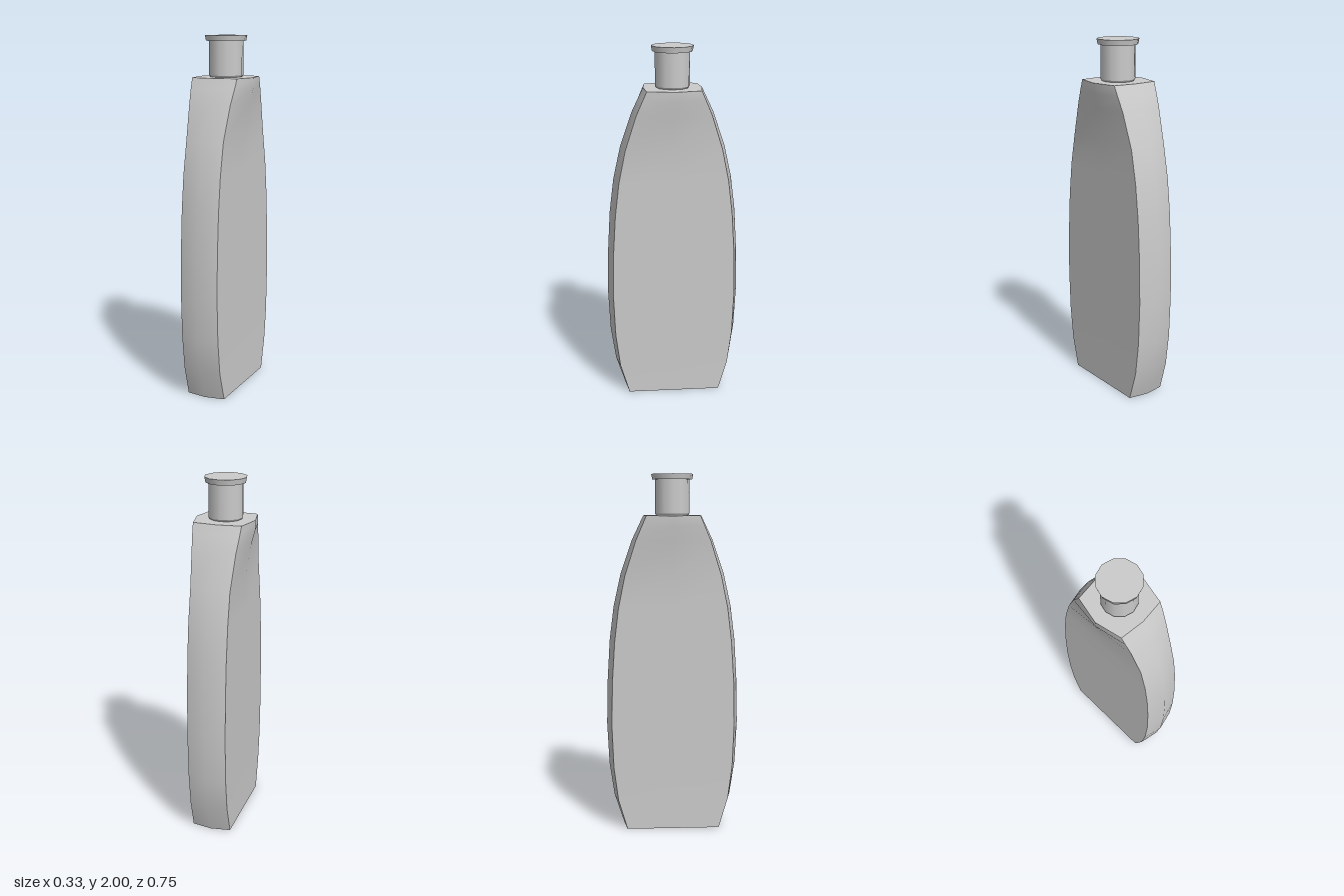
import * as THREE from 'three';

// Body sections: height, ridge z, edge z, edge x, side centre x
const SECTIONS = [
  [0, 0.28, 0.262, 0.112, 0.112],
  [0.17, 0.335, 0.312, 0.11, 0.11],
  [0.36, 0.363, 0.336, 0.11, 0.11],
  [0.6, 0.374, 0.345, 0.11, 0.11],
  [0.85, 0.368, 0.34, 0.11, 0.11],
  [1.08, 0.354, 0.325, 0.11, 0.11],
  [1.27, 0.33, 0.302, 0.11, 0.11],
  [1.45, 0.29, 0.265, 0.11, 0.112],
  [1.64, 0.225, 0.205, 0.122, 0.143],
  [1.72, 0.187, 0.171, 0.13, 0.165],
  [1.775, 0.161, 0.147, 0.134, 0.166],
];

const material = new THREE.MeshStandardMaterial({ color: 0xcccccc });

function addMesh(parent, name, geometry) {
  const mesh = new THREE.Mesh(geometry, material);
  mesh.name = name;
  parent.add(mesh);
  return mesh;
}

// Smooth vertical panel, three points per section
function panel(columns) {
  const positions = [];
  const index = [];
  SECTIONS.forEach((section, row) => {
    for (const [x, z] of columns(section)) positions.push(x, section[0], z);
    if (row === 0) return;
    for (let c = 0; c < 2; c++) {
      const a = (row - 1) * 3 + c;
      index.push(a, a + 1, a + 4, a, a + 4, a + 3);
    }
  });
  const geometry = new THREE.BufferGeometry();
  geometry.setAttribute('position', new THREE.Float32BufferAttribute(positions, 3));
  geometry.setIndex(index);
  geometry.computeVertexNormals();
  return geometry;
}

// Flat eight-sided end of the body
function endFace([y, zc, ze, xe, xm], direction) {
  const outline = [
    [0, zc], [xe, ze], [xm, 0], [xe, -ze],
    [0, -zc], [-xe, -ze], [-xm, 0], [-xe, ze],
  ].map(([x, z]) => new THREE.Vector2(x, z));
  const geometry = new THREE.ShapeGeometry(new THREE.Shape(outline));
  return geometry.rotateX(-direction * Math.PI / 2).translate(0, y, 0);
}

export function createModel() {
  const model = new THREE.Group();
  const body = new THREE.Group();
  body.name = 'body';
  model.add(body);

  // Ridged narrow faces and broad faces, each repeated by a half turn
  const narrow = panel(([, zc, ze, xe]) => [[-xe, ze], [0, zc], [xe, ze]]);
  const broad = panel(([, , ze, xe, xm]) => [[xe, ze], [xm, 0], [xe, -ze]]);
  addMesh(body, 'frontFace', narrow);
  addMesh(body, 'backFace', narrow).rotation.y = Math.PI;
  addMesh(body, 'leftFace', broad);
  addMesh(body, 'rightFace', broad).rotation.y = Math.PI;
  addMesh(body, 'base', endFace(SECTIONS[0], -1));
  addMesh(body, 'shoulder', endFace(SECTIONS[SECTIONS.length - 1], 1));

  // Neck and stopper
  const neck = new THREE.CylinderGeometry(0.095, 0.095, 0.185, 12, 1, true);
  addMesh(model, 'neck', neck.translate(0, 1.8775, 0));
  const foot = new THREE.CylinderGeometry(0.095, 0.087, 0.012, 12, 1, true);
  addMesh(model, 'neckFoot', foot.translate(0, 1.779, 0));
  const lip = new THREE.CylinderGeometry(0.116, 0.11, 0.03, 12);
  addMesh(model, 'lip', lip.translate(0, 1.985, 0));

  return model;
}
